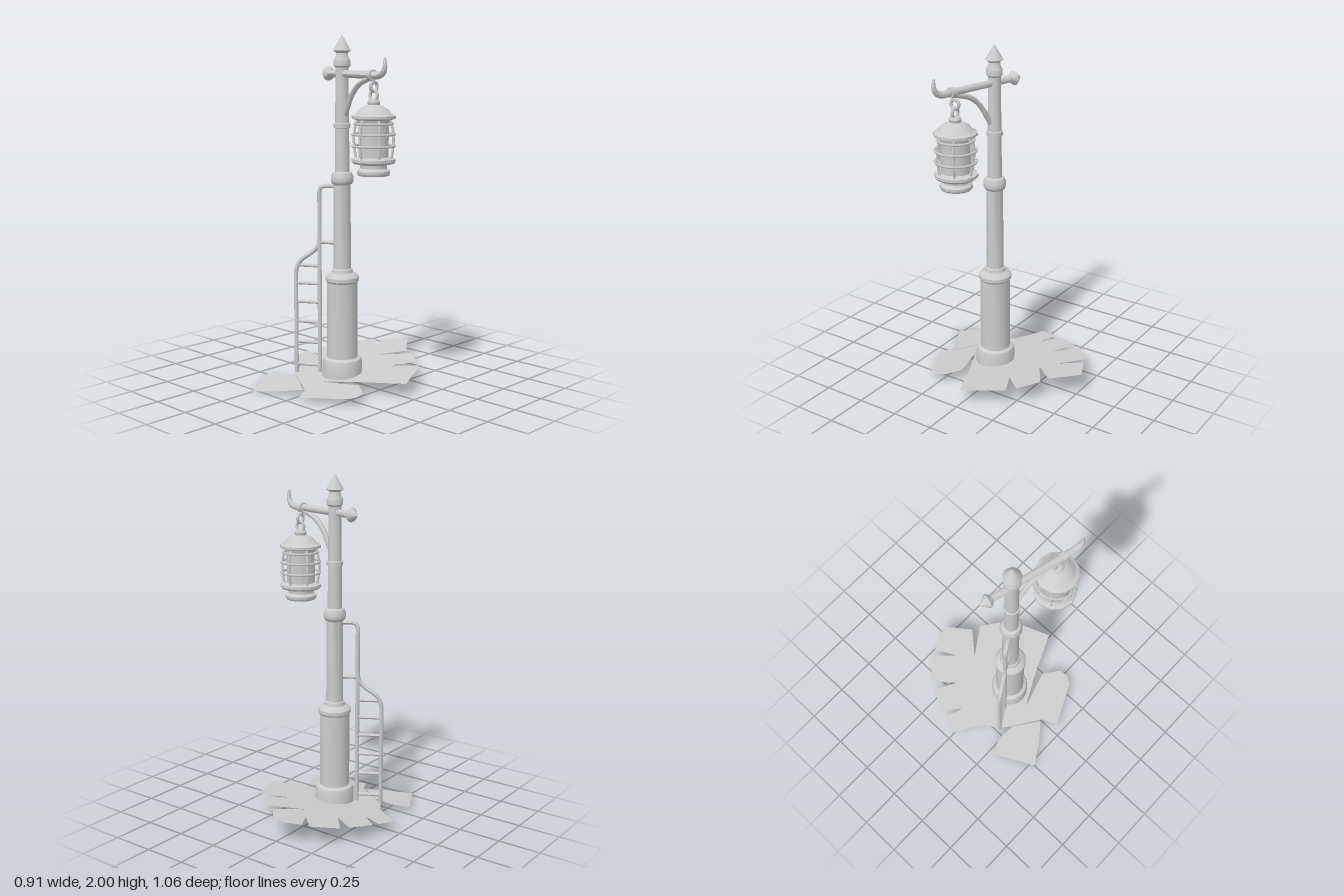
import * as THREE from 'three';
import { toCreasedNormals } from 'three/addons/utils/BufferGeometryUtils.js';

const grey = new THREE.MeshStandardMaterial({ color: 0xcccccc });
grey.name = 'plain grey';
const groundGrey = new THREE.MeshStandardMaterial({ color: 0xcccccc, side: THREE.DoubleSide });
groundGrey.name = 'ground grey';

function add(parent, name, geometry, x = 0, y = 0, z = 0, material = grey) {
  const mesh = new THREE.Mesh(geometry, material);
  mesh.name = name;
  mesh.position.set(x, y, z);
  parent.add(mesh);
  return mesh;
}

function group(parent, name, x, z, turn = 0) {
  const g = new THREE.Group();
  g.name = name;
  g.position.set(x, 0, z);
  g.rotation.y = turn;
  parent.add(g);
  return g;
}

// profile: [radius, height] pairs from bottom to top
function lathe(profile, sides) {
  const points = profile.map(([r, y]) => new THREE.Vector2(r, y));
  return toCreasedNormals(new THREE.LatheGeometry(points, sides), 0.6);
}

// round bar through points, with closed ends and an optional taper at the end
function bar(points, radius, steps = 16, endScale = 1) {
  const path = new THREE.CatmullRomCurve3(points.map(p => new THREE.Vector3(p[0], p[1], p[2] || 0)), false, 'centripetal');
  const sides = 8;
  const geometry = new THREE.TubeGeometry(path, steps, radius, sides, false);
  const pos = geometry.attributes.position, v = new THREE.Vector3();
  for (let i = 0; i <= steps; i++) {
    const centre = path.getPointAt(i / steps);
    const scale = 1 + (endScale - 1) * (i / steps) ** 2;
    for (let j = 0; j <= sides; j++) {
      const k = i * (sides + 1) + j;
      v.fromBufferAttribute(pos, k).sub(centre).multiplyScalar(scale).add(centre);
      pos.setXYZ(k, v.x, v.y, v.z);
    }
  }
  geometry.computeVertexNormals();
  return geometry;
}

// thin paving sheet from an [x, z] outline, laid on the sloping ground
function sheet(outline) {
  const shape = new THREE.Shape(outline.map(([x, z]) => new THREE.Vector2(x, -z)));
  const geometry = new THREE.ShapeGeometry(shape);
  geometry.rotateX(-Math.PI / 2);
  const pos = geometry.attributes.position;
  for (let i = 0; i < pos.count; i++) {
    pos.setY(i, 0.073 - 0.125 * pos.getZ(i) + 0.025 * pos.getX(i));
  }
  geometry.computeVertexNormals();
  return geometry;
}

function buildGround(model) {
  add(model, 'ground', sheet([
    [0, -0.53], [0.12, -0.38], [0, -0.245], [0.175, -0.36], [0.3, -0.275], [0.195, -0.16], [0.345, -0.235],
    [0.452, 0.01], [0.2, 0.12], [-0.005, 0.224], [0.23, 0.155], [0.325, 0.225], [0.335, 0.285], [0.305, 0.33],
    [0.047, 0.452], [0.005, 0.36], [-0.165, 0.25], [-0.238, 0.193], [-0.285, 0.117], [-0.367, 0.06],
    [-0.455, 0.013], [-0.424, -0.103], [-0.308, -0.063], [-0.41, -0.142], [-0.348, -0.283], [-0.21, -0.204],
    [-0.322, -0.334], [-0.193, -0.444], [-0.083, -0.337], [-0.15, -0.46],
  ]), 0, 0, 0, groundGrey);
  add(model, 'loosePaving', sheet([
    [-0.382, 0.289], [-0.286, 0.244], [-0.165, 0.252], [-0.086, 0.307],
    [-0.01, 0.36], [-0.114, 0.444], [-0.25, 0.528],
  ]), 0, 0, 0, groundGrey);
}

function buildPost(model) {
  const post = group(model, 'post', 0.01, 0.063);
  add(post, 'base', lathe([
    [0, 0.05], [0.115, 0.05], [0.115, 0.135], [0.108, 0.155], [0.088, 0.165], [0.088, 0.605],
    [0.096, 0.615], [0.096, 0.635], [0.085, 0.65], [0.062, 0.66], [0.058, 0.68], [0.05, 0.685],
  ], 18));
  add(post, 'shaft', lathe([
    [0.05, 0.68], [0.048, 1.165], [0.056, 1.17], [0.064, 1.185], [0.064, 1.215], [0.054, 1.235],
    [0.041, 1.24], [0.04, 1.485], [0.047, 1.487], [0.047, 1.51], [0.039, 1.513], [0.036, 1.82],
    [0.046, 1.83], [0.046, 1.86], [0.035, 1.88], [0.03, 1.908],
  ], 16));
  add(post, 'finial', lathe([[0, 1.9], [0.03, 1.9], [0.05, 1.914], [0, 2]], 16));
}

function buildArm(model) {
  const arm = group(model, 'arm', 0.01, 0.063, -0.245);
  add(arm, 'beam', bar([[-0.13, 1.786], [0.1, 1.785], [0.32, 1.783]], 0.021, 4));
  add(arm, 'horn', bar([[0.31, 1.783], [0.375, 1.784], [0.41, 1.802], [0.423, 1.835], [0.42, 1.876]], 0.021, 16, 0.3));
  const tip = add(arm, 'arrowTip', lathe([[0, 0], [0.021, 0], [0.041, 0.025], [0, 0.075]], 12), -0.12, 1.786);
  tip.rotation.z = Math.PI / 2;
  const collar = add(arm, 'hookCollar', new THREE.CylinderGeometry(0.029, 0.029, 0.03, 12), 0.3, 1.783);
  collar.rotation.z = Math.PI / 2;
  add(arm, 'bracket', bar([[0.03, 1.56], [0.055, 1.6], [0.1, 1.67], [0.17, 1.73], [0.285, 1.768]], 0.015, 16));
}

function buildLantern(model) {
  const lantern = group(model, 'lantern', 0.3, 0.119);

  // chain
  const link = new THREE.TorusGeometry(0.026, 0.009, 8, 14);
  add(lantern, 'upperLink', link, 0, 1.722).rotation.y = Math.PI / 2;
  add(lantern, 'lowerLink', link, 0, 1.675);
  add(lantern, 'hook', bar([[0, 1.735], [0, 1.755, 0.008], [0, 1.78, 0.015]], 0.01, 4));

  // roof, lamp body and foot
  add(lantern, 'roof', lathe([
    [0, 1.53], [0.09, 1.53], [0.095, 1.545], [0.121, 1.553], [0.121, 1.567], [0.098, 1.578], [0.083, 1.6],
    [0.045, 1.622], [0.032, 1.625], [0.036, 1.64], [0.028, 1.655], [0, 1.657],
  ], 12));
  add(lantern, 'lampBody', new THREE.CylinderGeometry(0.083, 0.083, 0.22, 12, 1, true), 0, 1.435);
  add(lantern, 'foot', lathe([
    [0, 1.245], [0.085, 1.245], [0.092, 1.255], [0.092, 1.27], [0.074, 1.285], [0.075, 1.303],
    [0.112, 1.31], [0.121, 1.32], [0.121, 1.335], [0.085, 1.345], [0, 1.345],
  ], 12));

  // guard cage
  [1.405, 1.468, 1.525].forEach((y, i) => {
    const r = i === 2 ? 0.102 : 0.114;
    add(lantern, 'guardRing', new THREE.TorusGeometry(r, 0.007, 6, 24), 0, y).rotation.x = Math.PI / 2;
  });
  const guard = bar([[0.09, 1.545], [0.104, 1.5], [0.109, 1.437], [0.104, 1.375], [0.095, 1.33]], 0.007, 10);
  for (let i = 0; i < 6; i++) {
    add(lantern, 'guardBar', guard).rotation.y = (i + 0.5) * Math.PI / 3;
  }
}

function buildLadder(model) {
  const ladder = group(model, 'ladder', 0.01, 0.063, Math.PI + 0.516);
  const inner = 0.134, outer = 0.276, r = 0.0125;
  add(ladder, 'innerRail', bar([
    [inner, 0.06], [inner, 0.5], [inner, 1.08], [inner, 1.125], [0.126, 1.147], [0.105, 1.155], [0.04, 1.155],
  ], r, 40));
  add(ladder, 'outerRail', bar([
    [outer, 0.05], [outer, 0.35], [outer, 0.62], [0.272, 0.67], [0.245, 0.72],
    [0.17, 0.775], [0.142, 0.81], [inner, 0.86],
  ], r, 40));
  add(ladder, 'wallStay', bar([[inner, 0.83], [0.04, 0.83]], 0.011, 1));
  for (const y of [0.1, 0.235, 0.357, 0.475, 0.585, 0.69]) {
    add(ladder, 'rung', bar([[inner, y], [y > 0.65 ? 0.262 : outer, y]], 0.01, 1));
  }
}

export function createModel() {
  const model = new THREE.Group();
  model.name = 'streetLamp';
  buildGround(model);
  buildPost(model);
  buildArm(model);
  buildLantern(model);
  buildLadder(model);
  return model;
}
